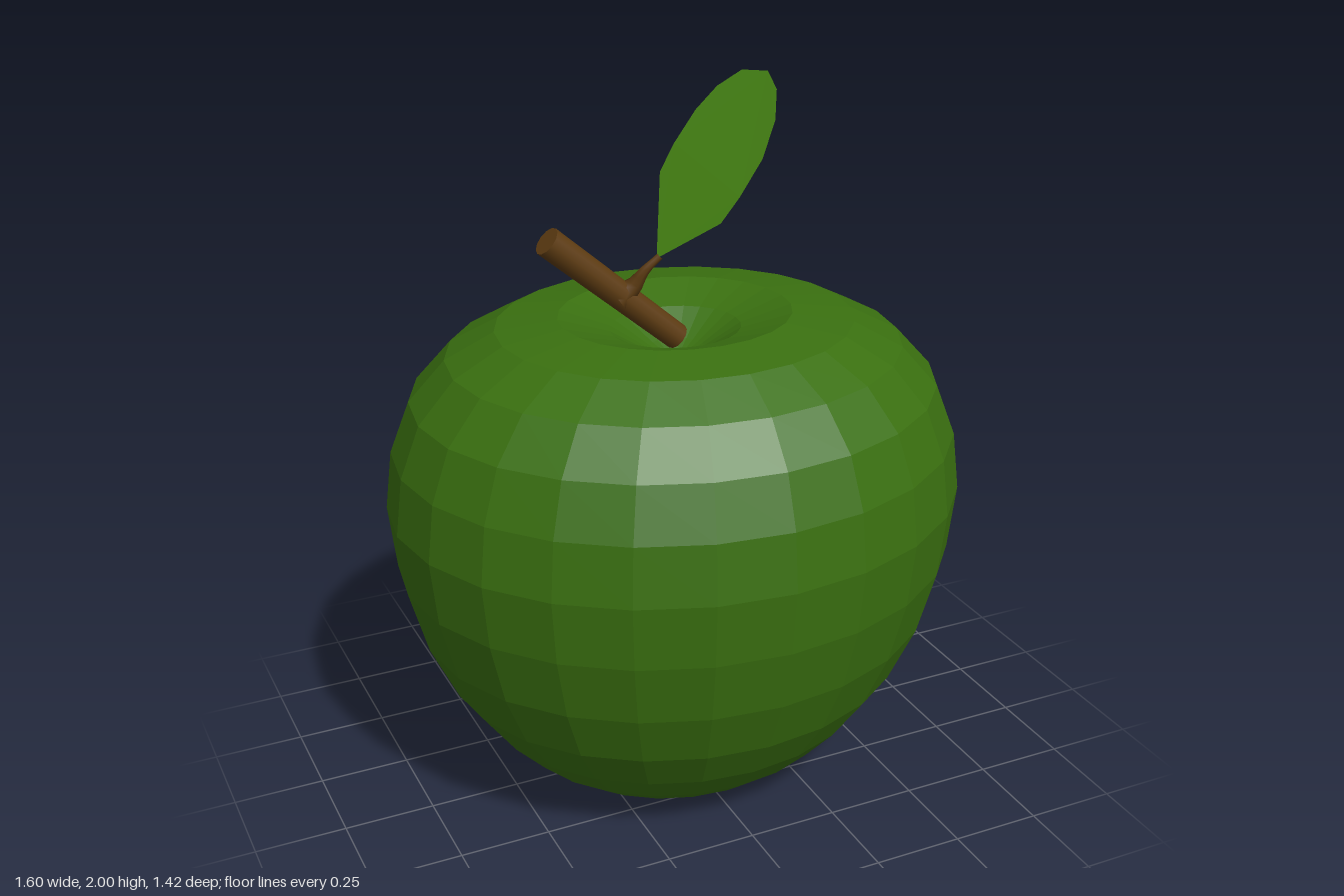
import * as THREE from 'three';

const SEGMENTS = 24, STEP = Math.PI * 2 / SEGMENTS, DEPTH = 0.89;
const V = (x, y, z) => new THREE.Vector3(x, y, z);
const toPoints = (list) => list.map(([x, y]) => new THREE.Vector2(x, y));

// Outer side of the fruit, from the bottom rim to the top rim
const SIDE = [
  [0.28, 0.005], [0.38, 0.05], [0.47, 0.115], [0.56, 0.21], [0.655, 0.34], [0.73, 0.5],
  [0.78, 0.68], [0.8, 0.86], [0.78, 1.02], [0.725, 1.16], [0.625, 1.27], [0.49, 1.34], [0.32, 1.362],
];

function material(color, extra = {}) {
  return new THREE.MeshStandardMaterial({ color, ...extra });
}

function part(name, geometry, mat) {
  const mesh = new THREE.Mesh(geometry, mat);
  mesh.name = name;
  return mesh;
}

// Point on the faceted skin at height y and depth z, on the +x side
function skinPoint(y, z, lift) {
  const i = SIDE.findIndex((p) => p[1] > y);
  const [a, b] = [SIDE[i - 1], SIDE[i]];
  const radius = a[0] + (b[0] - a[0]) * (y - a[1]) / (b[1] - a[1]);
  const angle = Math.acos(THREE.MathUtils.clamp(z / DEPTH / radius, -1, 1));
  const inFacet = (angle % STEP) - STEP / 2;
  const r = radius * Math.cos(STEP / 2) / Math.cos(inFacet) + lift;
  return V(r * Math.sin(angle), y, r * Math.cos(angle) * DEPTH);
}

export function createModel() {
  const model = new THREE.Group();
  model.name = 'apple';
  const green = material(0x3a7010, { flatShading: true });
  const bark = material(0x5e3c12);

  // Body with a dimple at both ends
  const profile = [[0, 0.15], [0.08, 0.12], [0.2, 0.04], ...SIDE, [0.18, 1.32], [0.08, 1.26], [0, 1.22]];
  const body = new THREE.LatheGeometry(toPoints(profile), SEGMENTS);
  body.scale(1, 1, DEPTH);
  model.add(part('body', body, green));

  // Single red facet low on the back
  const patch = new THREE.LatheGeometry(
    toPoints([SIDE[2], SIDE[3]].map(([r, y]) => [r + 0.003, y - 0.003])), 1, Math.PI, STEP);
  patch.scale(1, 1, DEPTH);
  model.add(part('redPatch', patch, material(0x5c0a10, { flatShading: true, side: THREE.DoubleSide })));

  // Fine leaf-shaped crease on the side, following the skin
  const crease = [[0.77, -0.02], [0.68, -0.18], [0.69, -0.34], [0.68, -0.5], [0.77, -0.6],
    [0.86, -0.5], [0.87, -0.35], [0.86, -0.18]];
  const strokes = [[0, 1], [1, 2], [2, 3], [3, 4], [4, 5]];
  const creases = new THREE.Group();
  creases.name = 'skinCrease';
  for (const [from, to] of strokes) {
    const points = [];
    for (let i = 0; i <= 6; i++) {
      const y = THREE.MathUtils.lerp(crease[from][0], crease[to][0], i / 6);
      const z = THREE.MathUtils.lerp(crease[from][1], crease[to][1], i / 6);
      points.push(skinPoint(y, z, -0.001));
    }
    const path = new THREE.CatmullRomCurve3(points);
    creases.add(part('creaseLine', new THREE.TubeGeometry(path, 12, 0.004, 4), material(0x1c3808)));
  }
  model.add(creases);

  // Leaning stem, a little wider at its cut end
  const base = V(0.01, 1.235, 0), tip = V(-0.36, 1.605, 0);
  base.y = 1.29;
  base.x = 0.005;
  const along = tip.clone().sub(base);
  const stem = part('stem', new THREE.CylinderGeometry(0.04, 0.036, along.length(), 12), bark);
  stem.position.copy(base).addScaledVector(along, 0.5);
  stem.quaternion.setFromUnitVectors(V(0, 1, 0), along.clone().normalize());
  model.add(stem);

  // Twig that flares into the stem and carries the leaf
  const twigPath = new THREE.CatmullRomCurve3([
    V(-0.165, 1.425, 0), V(-0.125, 1.455, 0.01), V(-0.1, 1.495, 0.022), V(-0.06, 1.535, 0.034)]);
  const rings = 8, sides = 8;
  const twig = new THREE.TubeGeometry(twigPath, rings, 1, sides);
  const pos = twig.attributes.position;
  for (let i = 0; i < pos.count; i++) {
    const t = Math.floor(i / (sides + 1)) / rings;
    const center = twigPath.getPointAt(t);
    const p = V().fromBufferAttribute(pos, i).sub(center);
    p.multiplyScalar(0.01 + 0.032 * (1 - t) ** 2).add(center);
    pos.setXYZ(i, p.x, p.y, p.z);
  }
  model.add(part('twig', twig, bark));

  // Flat leaf
  const outline = [[-0.07, 1.53], [0.115, 1.6], [0.17, 1.665], [0.235, 1.76], [0.27, 1.86], [0.272, 1.94],
    [0.245, 1.99], [0.17, 2], [0.1, 1.965], [0.04, 1.91], [-0.02, 1.83], [-0.06, 1.76]];
  const leaf = new THREE.ShapeGeometry(new THREE.Shape(toPoints(outline)));
  leaf.translate(0, 0, 0.035);
  model.add(part('leaf', leaf, material(0x44830f, { side: THREE.DoubleSide })));

  return model;
}
